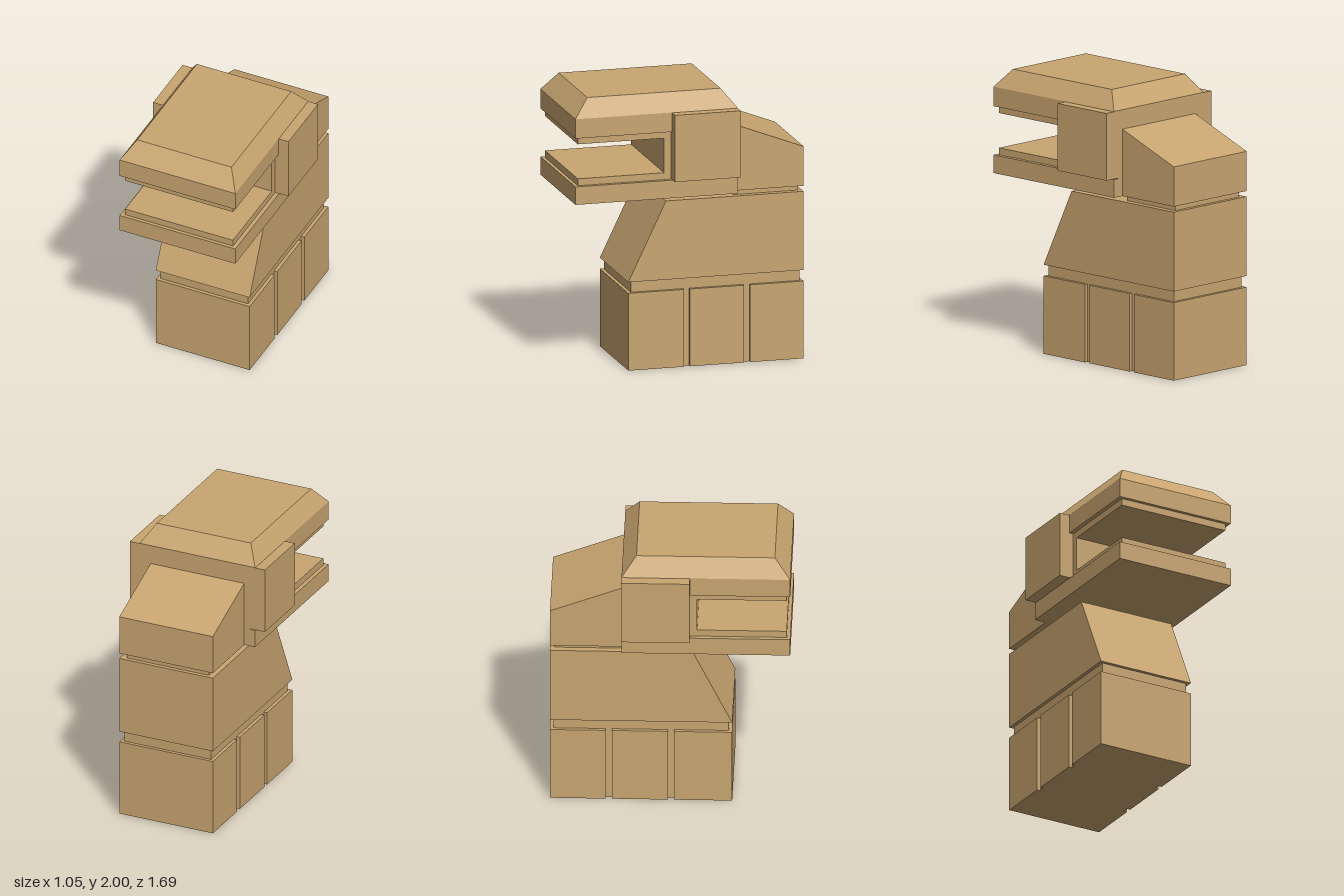
import * as THREE from 'three';

export function createModel() {
  const model = new THREE.Group();
  const tan = new THREE.MeshStandardMaterial({ color: 0xc8a570 });
  tan.name = 'tan';

  function add(name, geometry) {
    const mesh = new THREE.Mesh(geometry, tan);
    mesh.name = name;
    model.add(mesh);
    return mesh;
  }

  // Box between two limits on each axis
  function block(name, x0, x1, y0, y1, z0, z1) {
    const g = new THREE.BoxGeometry(x1 - x0, y1 - y0, z1 - z0);
    g.translate((x0 + x1) / 2, (y0 + y1) / 2, (z0 + z1) / 2);
    return add(name, g);
  }

  // Side profile of [z, y] points, extruded across the full width
  function slab(name, halfWidth, points) {
    const shape = new THREE.Shape(points.map(([z, y]) => new THREE.Vector2(-z, y)));
    const g = new THREE.ExtrudeGeometry(shape, { depth: 2 * halfWidth, bevelEnabled: false });
    g.translate(0, 0, -halfWidth);
    g.rotateY(Math.PI / 2);
    return add(name, g);
  }

  // Base: recessed core with three raised blocks
  block('baseCore', -0.34, 0.34, 0, 0.64, -0.82, 0.41);
  for (const [z0, z1] of [[-0.845, -0.455], [-0.41, -0.015], [0.027, 0.435]]) {
    block('baseBlock', -0.365, 0.365, 0, 0.56, z0, z1);
  }

  // Body with sloping chest, and the recessed neck
  slab('body', 0.365, [[0.435, 0.64], [-0.845, 0.64], [-0.845, 1.21], [0.16, 1.21]]);
  block('neck', -0.32, 0.32, 1.21, 1.25, -0.815, -0.34);

  // Sloping back of the head
  slab('headBack', 0.365, [[-0.34, 1.25], [-0.845, 1.25], [-0.845, 1.535], [-0.34, 1.73]]);

  // Jaws, lips and the back wall of the mouth
  block('lowerJaw', -0.45, 0.45, 1.25, 1.38, -0.34, 0.845);
  block('lowerLip', -0.42, 0.42, 1.38, 1.43, 0.13, 0.82);
  block('mouthWall', -0.42, 0.42, 1.38, 1.73, -0.33, 0.19);
  block('upperLip', -0.42, 0.42, 1.68, 1.73, 0.13, 0.82);
  block('upperJaw', -0.45, 0.45, 1.73, 1.87, -0.34, 0.845);

  // Cheeks
  for (const s of [-1, 1]) {
    const [a, b] = [s * 0.41, s * 0.527];
    block('cheek', Math.min(a, b), Math.max(a, b), 1.385, 1.868, -0.34, 0.14);
  }
  block('headRear', -0.41, 0.41, 1.38, 1.73, -0.34, -0.32);

  // Crown: a box whose top corners are drawn inward
  const crown = new THREE.BoxGeometry(0.9, 0.13, 1.185).toNonIndexed();
  crown.translate(0, 1.935, 0.2525);
  const p = crown.attributes.position;
  for (let i = 0; i < p.count; i++) {
    if (p.getY(i) > 1.94) {
      p.setX(i, Math.sign(p.getX(i)) * 0.367);
      p.setZ(i, p.getZ(i) > 0.25 ? 0.735 : -0.237);
    }
  }
  crown.computeVertexNormals();
  add('crown', crown);

  return model;
}
